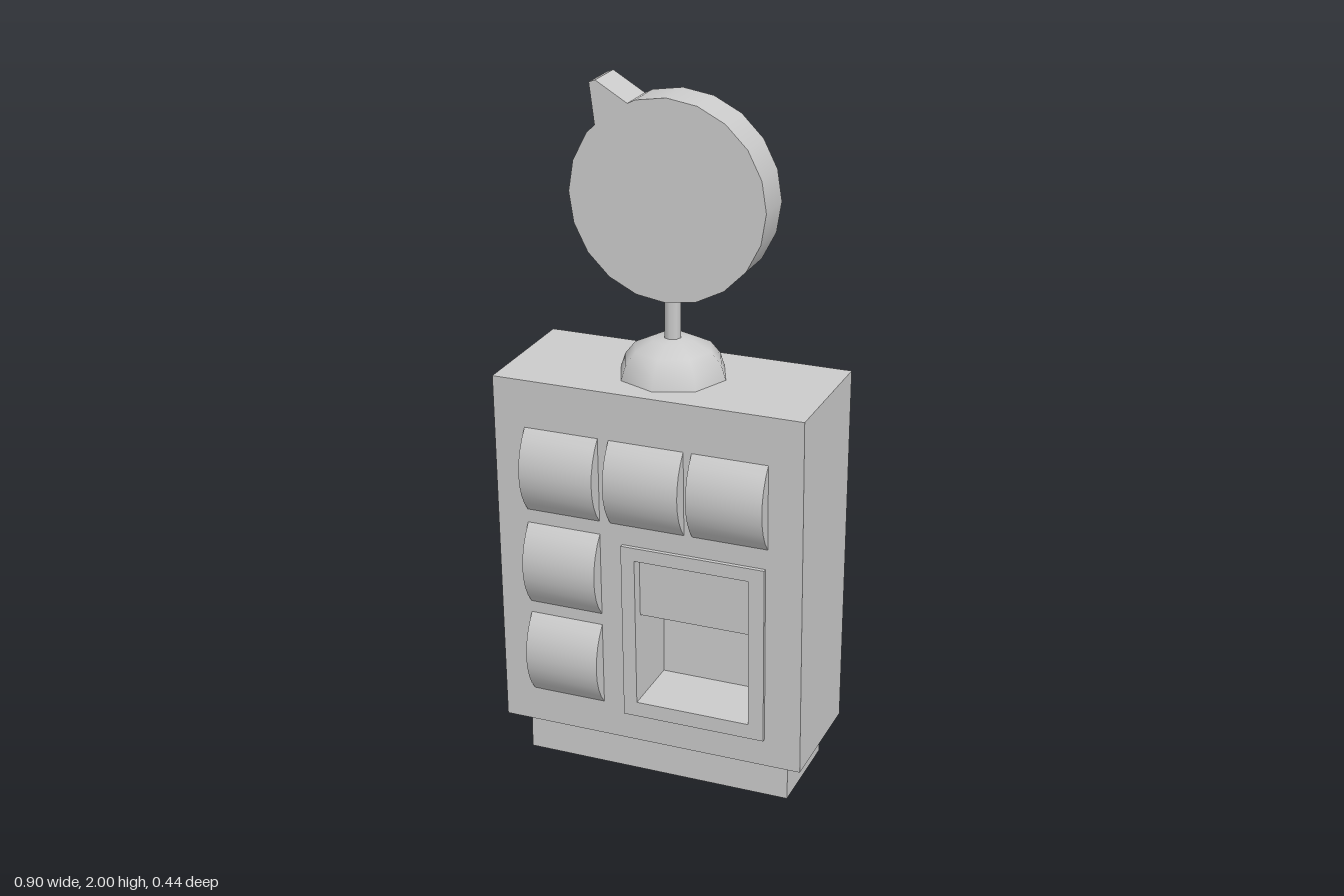
import * as THREE from 'three';

const material = new THREE.MeshStandardMaterial({ color: 0xcccccc });

function add(parent, name, geometry) {
  const mesh = new THREE.Mesh(geometry, material);
  mesh.name = name;
  parent.add(mesh);
  return mesh;
}

// Cabinet parts lean: front and back pull in slightly towards the bottom
function lean(geometry) {
  const p = geometry.attributes.position;
  for (let i = 0; i < p.count; i++) {
    const drop = 1 - (p.getY(i) - 0.12) / 1.07;
    p.setZ(i, p.getZ(i) + (p.getZ(i) > -0.01 ? -0.033 : 0.01) * drop);
  }
  geometry.computeVertexNormals();
  return geometry;
}

function box(x0, x1, y0, y1, z0, z1) {
  return new THREE.BoxGeometry(x1 - x0, y1 - y0, z1 - z0)
    .translate((x0 + x1) / 2, (y0 + y1) / 2, (z0 + z1) / 2);
}

function rectPoints([x0, x1, y0, y1]) {
  return [[x0, y0], [x1, y0], [x1, y1], [x0, y1]].map(([x, y]) => new THREE.Vector2(x, y));
}

// Rectangular slab with a rectangular opening
function frame(outer, inner, z0, z1) {
  const shape = new THREE.Shape(rectPoints(outer));
  shape.holes.push(new THREE.Path(rectPoints(inner)));
  return new THREE.ExtrudeGeometry(shape, { depth: z1 - z0, bevelEnabled: false }).translate(0, 0, z0);
}

export function createModel() {
  const model = new THREE.Group();
  model.name = 'vendingMachine';

  add(model, 'base', box(-0.393, 0.4, 0, 0.13, -0.18, 0.105));

  // Cabinet: front and back shells around a solid core
  const cabinet = new THREE.Group();
  cabinet.name = 'cabinet';
  model.add(cabinet);
  const body = [-0.45, 0.45, 0.12, 1.19];
  const hatch = [-0.035, 0.3, 0.25, 0.7];
  const recess = [-0.355, 0.355, 0.2, 1.1];
  add(cabinet, 'frontShell', lean(frame(body, hatch, -0.05, 0.18)));
  add(cabinet, 'core', lean(box(...body, -0.1, -0.05)));
  add(cabinet, 'backShell', lean(frame(body, recess, -0.22, -0.1)));

  // Hatch surround with a flap over its upper half, and the back panel
  add(cabinet, 'hatchFrame', lean(frame([-0.075, 0.345, 0.205, 0.74], hatch, 0.17, 0.192)));
  add(cabinet, 'hatchFlap', lean(box(-0.035, 0.3, 0.515, 0.7, -0.05, 0.155)));
  add(cabinet, 'backPanel', lean(box(-0.355, 0.355, 0.38, 1.1, -0.19, -0.1)));

  // Bulging display drums
  const half = 0.762;
  for (const [x, y] of [[-0.25, 0.925], [0, 0.925], [0.242, 0.925], [-0.25, 0.635], [-0.25, 0.35]]) {
    const drum = new THREE.CylinderGeometry(0.181, 0.181, 0.218, 8, 1, false, -half, 2 * half);
    drum.rotateZ(Math.PI / 2).translate(x, y, 0.049);
    add(cabinet, 'displayDrum', lean(drum));
  }

  // Dome and post carrying the sign
  const profile = [[0.155, 0], [0.142, 0.04], [0.112, 0.078], [0.06, 0.103], [0, 0.112]];
  add(model, 'dome', new THREE.LatheGeometry(
    profile.map(([r, y]) => new THREE.Vector2(r, y)), 8)).position.set(0, 1.188, -0.025);
  add(model, 'post', new THREE.CylinderGeometry(0.024, 0.024, 0.16, 8)).position.set(0, 1.355, -0.022);

  // Round sign with one pointed ear
  const sign = new THREE.Group();
  sign.name = 'sign';
  model.add(sign);
  add(sign, 'signDisc', new THREE.CylinderGeometry(0.281, 0.281, 0.122, 20)
    .rotateX(Math.PI / 2).translate(0, 1.69, -0.034));
  const ear = new THREE.Shape([[-0.11, 1.85], [-0.107, 1.945], [-0.2, 2], [-0.218, 1.993], [-0.203, 1.88]]
    .map(([x, y]) => new THREE.Vector2(x, y)));
  add(sign, 'signEar', new THREE.ExtrudeGeometry(ear, { depth: 0.122, bevelEnabled: false })
    .translate(0, 0, -0.095));

  return model;
}
